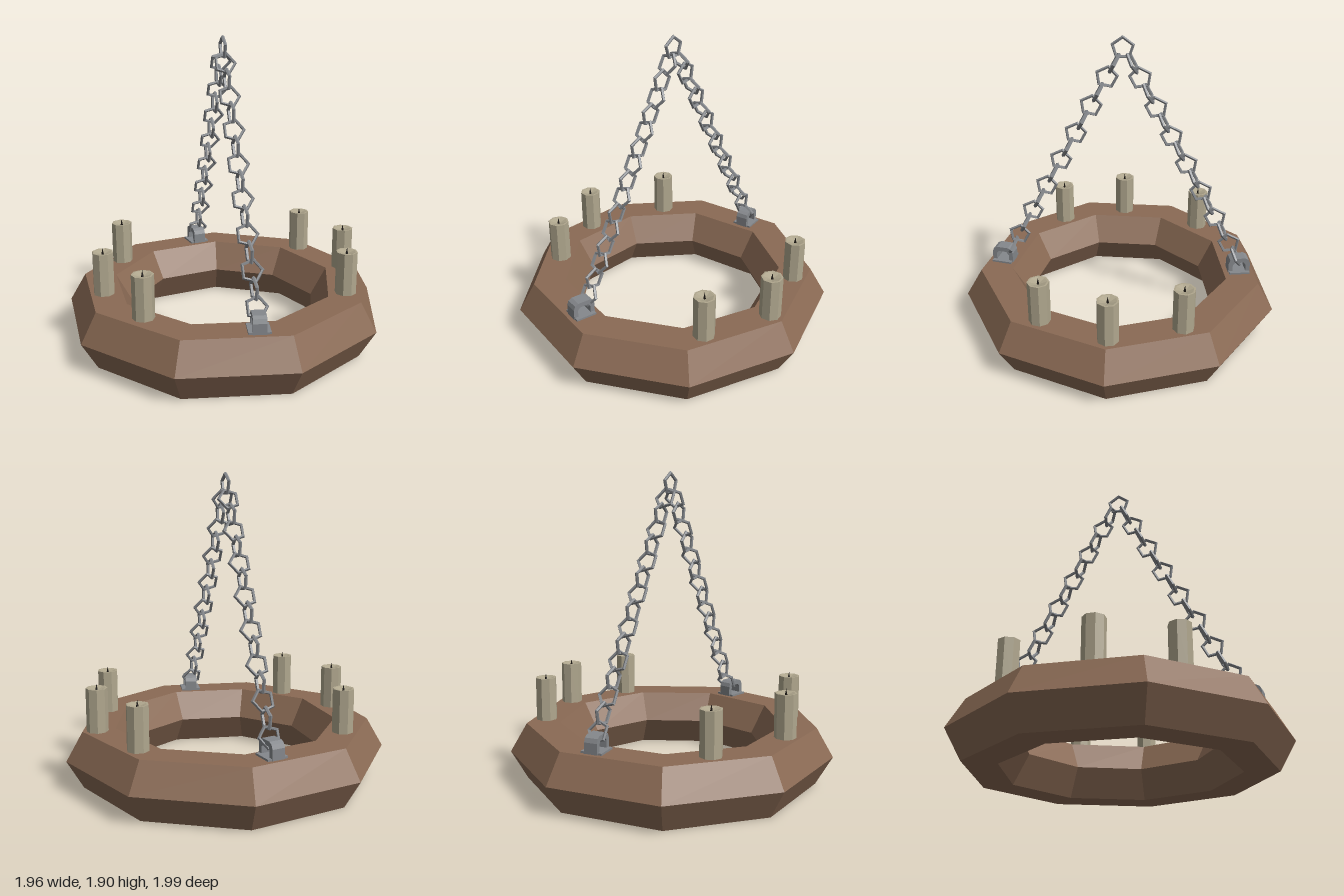
import * as THREE from 'three';

const mat = (color) => new THREE.MeshStandardMaterial({ color, flatShading: true });
const CX = -0.03; // hoop centre in x
const TOP = 0.355; // top face of the hoop

function add(parent, name, geometry, material) {
  const mesh = new THREE.Mesh(geometry, material);
  mesh.name = name;
  parent.add(mesh);
  return mesh;
}

export function createModel() {
  const model = new THREE.Group();
  model.name = 'chandelier';
  const wood = mat(0x8a6a54);
  const wax = mat(0xb0a78e);
  const metal = mat(0x85888c);
  const black = mat(0x1c1814);

  // Wooden hoop: nine segments with a hexagonal section
  const hoop = add(model, 'hoop', new THREE.TorusGeometry(0.805, 0.205, 6, 9).rotateX(Math.PI / 2), wood);
  hoop.position.set(CX, 0.1775, 0);

  // Candles with a hollowed top and a wick
  const profile = [[0, 0], [0.066, 0], [0.066, 0.268], [0.055, 0.268], [0, 0.25]];
  const waxGeo = new THREE.LatheGeometry(profile.map(([r, y]) => new THREE.Vector2(r, y)), 8);
  const wickGeo = new THREE.ConeGeometry(0.01, 0.05, 5);
  const spots = [[-0.61, -0.5], [-0.8, 0.035], [-0.625, 0.455], [0.635, -0.43], [0.785, -0.005], [0.635, 0.415]];
  spots.forEach(([x, z], i) => {
    const candle = new THREE.Group();
    candle.name = 'candle' + (i + 1);
    candle.position.set(x, TOP, z);
    candle.rotation.y = i * 0.35;
    add(candle, 'wax', waxGeo, wax);
    add(candle, 'wick', wickGeo, black).position.y = 0.268;
    model.add(candle);
  });

  // Brackets: a base plate and a chamfered arch
  const arch = new THREE.Shape();
  [[-0.07, 0], [-0.07, 0.065], [-0.06, 0.09], [-0.038, 0.102], [0.038, 0.102], [0.06, 0.09], [0.07, 0.065], [0.07, 0],
    [0.042, 0], [0.042, 0.055], [0.028, 0.072], [-0.028, 0.072], [-0.042, 0.055], [-0.042, 0]]
    .forEach(([a, b], i) => (i ? arch.lineTo(a, b) : arch.moveTo(a, b)));
  const archGeo = new THREE.ExtrudeGeometry(arch, { depth: 0.08, bevelEnabled: false })
    .translate(0, 0, -0.04).rotateY(Math.PI / 2);
  for (const s of [1, -1]) {
    const bracket = new THREE.Group();
    bracket.name = s > 0 ? 'frontBracket' : 'backBracket';
    bracket.position.set(-0.035, TOP, s * 0.77);
    bracket.rotation.y = -s * Math.PI / 18;
    add(bracket, 'plate', new THREE.BoxGeometry(0.13, 0.024, 0.13), metal);
    add(bracket, 'arch', archGeo, metal);
    model.add(bracket);
  }

  // Chains: five-sided links, alternately turned a quarter about the chain
  const linkGeo = new THREE.TorusGeometry(0.064, 0.011, 5, 5);
  const side = new THREE.Vector3(1, 0, 0);
  function link(parent, name, position, out, along) {
    const mesh = add(parent, name, linkGeo, metal);
    mesh.quaternion.setFromRotationMatrix(
      new THREE.Matrix4().makeBasis(out, along, new THREE.Vector3().crossVectors(out, along)));
    mesh.position.copy(position);
  }
  for (const s of [1, -1]) {
    const chain = new THREE.Group();
    chain.name = s > 0 ? 'frontChain' : 'backChain';
    const start = new THREE.Vector3(CX, 1.735, s * 0.052 - 0.02);
    const end = new THREE.Vector3(CX, 0.46, s * 0.73 - 0.02);
    const along = end.clone().sub(start).normalize();
    const out = new THREE.Vector3(0, Math.abs(along.z), -s * along.y);
    for (let i = 0; i < 15; i++) {
      link(chain, 'link', start.clone().lerp(end, i / 14), i % 2 ? out : side, along);
    }
    model.add(chain);
  }

  // Hanging ring joining the chains
  link(model, 'hangingRing', new THREE.Vector3(CX, 1.823, -0.015),
    new THREE.Vector3(0, 1, 0), new THREE.Vector3(0, 0, 1));
  return model;
}
